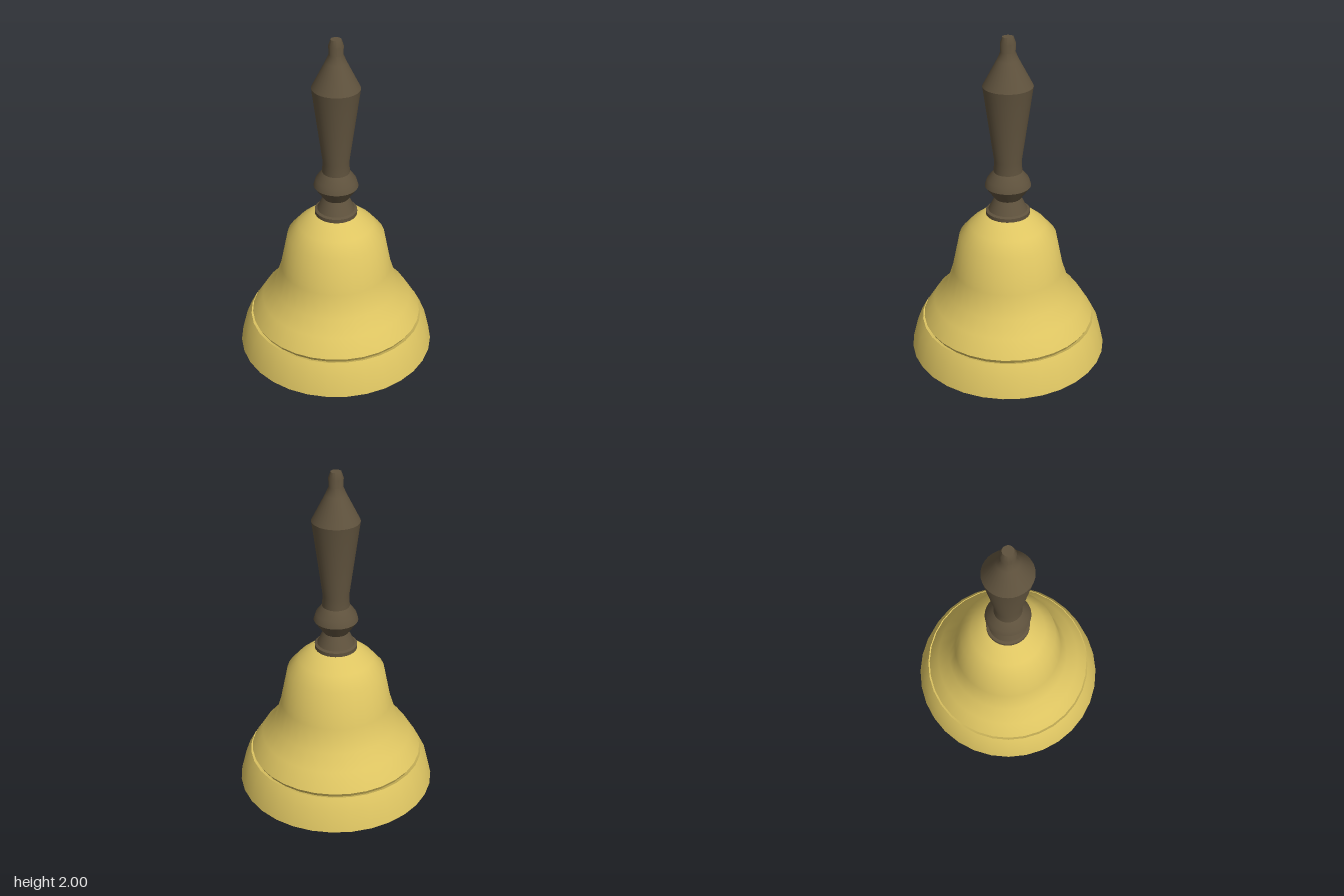
import * as THREE from 'three';
import { toCreasedNormals } from 'three/addons/utils/BufferGeometryUtils.js';

// Turned part from [radius, height] points; edges sharper than the crease angle stay hard
function turned(name, color, points, segments, crease) {
  const profile = points.map(([r, y]) => new THREE.Vector2(r, y));
  const geometry = toCreasedNormals(new THREE.LatheGeometry(profile, segments), crease);
  const mesh = new THREE.Mesh(geometry, new THREE.MeshStandardMaterial({ color, side: THREE.DoubleSide }));
  mesh.name = name;
  return mesh;
}

export function createModel() {
  const group = new THREE.Group();
  group.name = 'handBell';

  // Bell shell: down the inside, round the rim, up the outside
  const inside = [
    [0, 0.89], [0.12, 0.89], [0.22, 0.82], [0.26, 0.76], [0.30, 0.55],
    [0.35, 0.41], [0.43, 0.31], [0.49, 0.21], [0.535, 0.14], [0.565, 0.02],
  ];
  const outside = [
    [0.57, 0], [0.6, 0.02], [0.567, 0.15], [0.53, 0.22],
    [0.505, 0.208], [0.52, 0.235], // groove above the lip
    [0.455, 0.34], [0.38, 0.42], [0.335, 0.56], [0.29, 0.78],
    [0.225, 0.855], [0.14, 0.925], [0, 0.93],
  ];
  group.add(turned('bell', 0xdec562, [...inside, ...outside], 32, 0.75));

  // Turned wooden handle, very slightly oval
  const handle = turned('handle', 0x5f523d, [
    [0, 0.92], [0.125, 0.92], [0.125, 0.948], [0.11, 0.955], [0.075, 1.03],
    [0.13, 1.11], [0.118, 1.15], [0.08, 1.2], [0.077, 1.27], [0.137, 1.72],
    [0.06, 1.87], [0.04, 1.915], [0.042, 1.965], [0.03, 2], [0, 2],
  ], 32, 0.5);
  handle.scale.z = 1.04;
  group.add(handle);

  // Clapper hanging inside the bell
  group.add(turned('clapper', 0x9c7f52, [
    [0, 0.05], [0.055, 0.05], [0.08, 0.1], [0.08, 0.16], [0.048, 0.24], [0.04, 0.9], [0, 0.9],
  ], 16, 0.5));

  return group;
}
